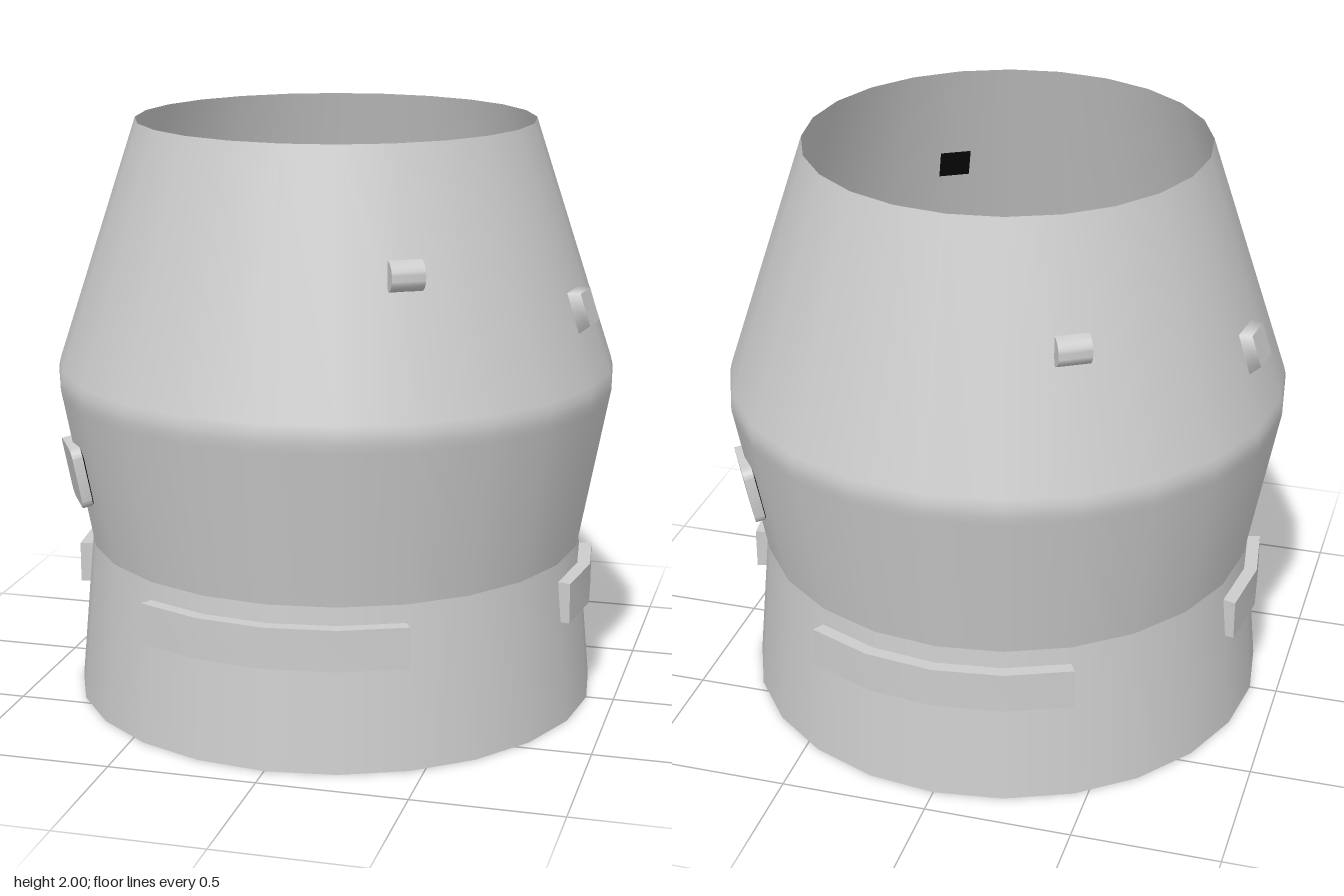
import * as THREE from 'three';
import { toCreasedNormals } from 'three/addons/utils/BufferGeometryUtils.js';

const SIDES = 24;
const STEP = (Math.PI * 2) / SIDES;
const rad = THREE.MathUtils.degToRad;
const points = (list) => list.map(([x, y]) => new THREE.Vector2(x, y));

export function createModel() {
  const model = new THREE.Group();
  const hullGrey = new THREE.MeshStandardMaterial({ color: 0xcccccc, side: THREE.DoubleSide });
  hullGrey.name = 'hull grey';
  const black = new THREE.MeshStandardMaterial({ color: 0x080808, side: THREE.DoubleSide });
  black.name = 'black';

  const add = (parent, name, geometry, material = hullGrey) => {
    const mesh = new THREE.Mesh(geometry, material);
    mesh.name = name;
    parent.add(mesh);
    return mesh;
  };

  // Open shell: skirt and shoulder are separate, for a sharp waist
  add(model, 'skirt', new THREE.LatheGeometry(points([[0.905, 0], [0.855, 0.55]]), SIDES));
  add(model, 'shoulder', new THREE.LatheGeometry(points([
    [0.855, 0.55], [0.954, 1.08], [0.96, 1.11], [0.96, 1.14], [0.953, 1.17], [0.68, 2],
  ]), SIDES));

  // Curved bands around the skirt, long on front and back, short on the sides
  const band = (name, azimuth, segments) => {
    const outer = [], inner = [];
    for (let i = 0; i <= segments; i++) {
      const a = azimuth + (i - segments / 2) * STEP;
      outer.push(new THREE.Vector2(Math.sin(a), -Math.cos(a)).multiplyScalar(0.905));
      inner.unshift(new THREE.Vector2(Math.sin(a), -Math.cos(a)).multiplyScalar(0.86));
    }
    const geometry = new THREE.ExtrudeGeometry(new THREE.Shape([...outer, ...inner]),
      { depth: 0.14, bevelEnabled: false });
    geometry.rotateX(-Math.PI / 2).translate(0, 0.35, 0);
    add(model, name, toCreasedNormals(geometry, 0.4));
    add(model, name + 'Backing', new THREE.LatheGeometry(points([[0.856, 0.35], [0.856, 0.49]]),
      segments, azimuth - segments / 2 * STEP, segments * STEP), black);
  };
  band('frontBand', 0, 4);
  band('backBand', Math.PI, 4);
  band('leftBand', Math.PI / 2, 2);
  band('rightBand', -Math.PI / 2, 2);

  // Fitting shapes, all facing +z
  const roundedPlate = (w, h, r, depth) => {
    const s = new THREE.Shape();
    const x = w / 2 - r, y = h / 2 - r;
    s.absarc(x, y, r, 0, Math.PI / 2);
    s.absarc(-x, y, r, Math.PI / 2, Math.PI);
    s.absarc(-x, -y, r, Math.PI, Math.PI * 1.5);
    s.absarc(x, -y, r, Math.PI * 1.5, Math.PI * 2);
    return new THREE.ExtrudeGeometry(s, { depth, bevelEnabled: false, curveSegments: 5 });
  };
  const hatchShape = toCreasedNormals(roundedPlate(0.22, 0.212, 0.035, 0.035), 0.5);

  const windowShape = new THREE.CylinderGeometry(0.055 * Math.SQRT2, 0.072 * Math.SQRT2, 0.045, 4)
    .rotateY(Math.PI / 4).rotateX(Math.PI / 2);

  const dProfile = new THREE.Shape();
  dProfile.moveTo(-0.034, 0.05);
  dProfile.absarc(-0.01, 0, 0.05, Math.PI / 2, -Math.PI / 2, true);
  const thrusterShape = toCreasedNormals(new THREE.ExtrudeGeometry(dProfile,
    { depth: 0.11, bevelEnabled: false, curveSegments: 8 })
    .translate(0, 0, -0.055).rotateY(-Math.PI / 2), 0.6);

  // Puts a shape on the wall at a given azimuth, height, radius and tilt
  const mount = (name, geometry, material, azimuth, y, radius, tilt) => {
    const holder = new THREE.Group();
    holder.name = name + 'Mount';
    holder.rotation.y = azimuth;
    model.add(holder);
    const mesh = add(holder, name, geometry, material);
    mesh.position.set(0, y, radius);
    mesh.rotation.x = tilt;
  };

  // Each fitting appears twice, half a turn apart
  const lean = -Math.atan2(0.273, 0.83);
  const flare = Math.atan2(0.105, 0.55);
  for (const turn of [0, Math.PI]) {
    mount('hatch', hatchShape, hullGrey, rad(120) + turn, 0.825, 0.895, flare);
    mount('hatchBacking', roundedPlate(0.22, 0.212, 0.035, 0.004), black,
      rad(120) + turn, 0.825, 0.89, flare);
    mount('window', windowShape, hullGrey, rad(82.5) + turn, 1.41, 0.884, lean);
    mount('windowBacking', new THREE.BoxGeometry(0.144, 0.144, 0.004), black,
      rad(82.5) + turn, 1.41, 0.858, lean);
    mount('thruster', thrusterShape, hullGrey, rad(30) + turn, 1.608, 0.82, 0);
    mount('thrusterBacking', new THREE.BoxGeometry(0.11, 0.104, 0.004), black,
      rad(30) + turn, 1.608, 0.794, lean);
  }
  return model;
}
